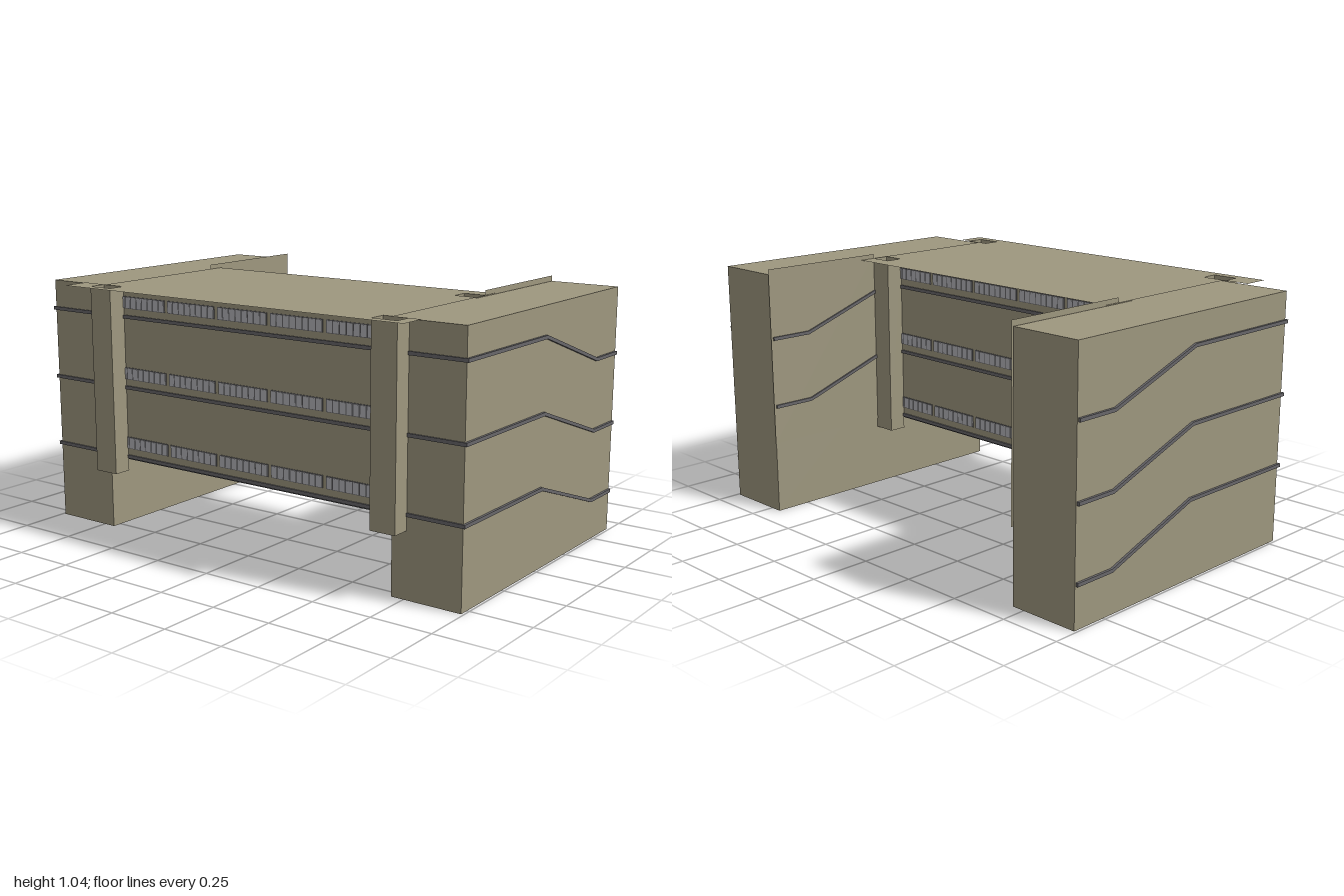
import * as THREE from 'three';

const TOP = 1.018, FRONT = 0.54, BACK = -0.025, INNER = 0.697;
const LEVELS = [0.32, 0.61, 0.9];

export function createModel() {
  const model = new THREE.Group();
  const wall = new THREE.MeshStandardMaterial({ color: 0x9e977f });
  const sheet = new THREE.MeshStandardMaterial({ color: 0x9e977f, side: THREE.DoubleSide });
  const trim = new THREE.MeshStandardMaterial({ color: 0x68676a });
  const glass = new THREE.MeshStandardMaterial({ color: 0xb6b6ba });

  const add = (name, geometry, material, parent = model) => {
    const mesh = new THREE.Mesh(geometry, material);
    mesh.name = name;
    parent.add(mesh);
    return mesh;
  };
  // Box given by its limits on each axis
  const box = (name, x0, x1, y0, y1, z0, z1, material, parent) => {
    const g = new THREE.BoxGeometry(x1 - x0, y1 - y0, z1 - z0);
    g.translate((x0 + x1) / 2, (y0 + y1) / 2, (z0 + z1) / 2);
    return add(name, g, material, parent);
  };

  // Bridge block between the towers, with its dark underside
  box('bridgeBlock', -INNER, INNER, 0.315, TOP, BACK, FRONT, wall);
  box('bridgeFloor', -INNER, INNER, 0.308, 0.315, BACK, FRONT, trim);

  // Band that follows the stepped line along a tower side, spanning x0..x0 + depth
  const sideBand = (name, y, x0, depth, zStart) => {
    const line = [[zStart, 0], [-0.03, 0], [-0.465, -0.15], [-0.645, -0.15]];
    const pts = [
      ...line.map(([z, dy]) => new THREE.Vector2(z, y + dy + 0.007)),
      ...line.reverse().map(([z, dy]) => new THREE.Vector2(z, y + dy - 0.007)),
    ];
    const g = new THREE.ExtrudeGeometry(new THREE.Shape(pts), { depth, bevelEnabled: false });
    g.rotateY(-Math.PI / 2);
    add(name, g, trim).position.x = x0 + depth;
  };

  // Towers, inner parapet panels and side bands, mirrored
  for (const s of [1, -1]) {
    const side = s > 0 ? 'left' : 'right';
    const a = s * INNER, b = s * 0.99;
    box(side + 'Tower', Math.min(a, b), Math.max(a, b), 0, TOP, -0.65, FRONT, wall);

    const panel = add(side + 'ParapetPanel', new THREE.PlaneGeometry(0.555, 0.74), sheet);
    panel.rotation.y = -s * Math.PI / 2;
    panel.position.set(s * 0.693, 0.67, -0.3775);

    LEVELS.forEach((y, i) => {
      sideBand(side + 'OuterBand', y, s > 0 ? 0.988 : -1, 0.012, FRONT + 0.005);
      if (i > 0) sideBand(side + 'InnerBand', y, s > 0 ? 0.686 : -0.698, 0.012, BACK);
    });
  }

  // Bands across the front and back
  for (const y of LEVELS) {
    box('frontBand', -1, 1, y - 0.007, y + 0.007, FRONT - 0.005, FRONT + 0.006, trim);
    box('backBand', -INNER, INNER, y - 0.007, y + 0.007, BACK - 0.006, BACK + 0.005, trim);
  }

  // Window rows: five frames of eight panes per storey, on both long walls
  for (const [name, z, dir] of [['front', FRONT, 1], ['back', BACK, -1]]) {
    for (const y of LEVELS) {
      const row = new THREE.Group();
      row.name = name + 'WindowRow';
      model.add(row);
      for (let i = 0; i < 5; i++) {
        const x = -0.615 + i * 0.256, y0 = y + 0.034, y1 = y + 0.083;
        const frame = add('windowFrame', new THREE.BoxGeometry(0.24, y1 - y0, 0.006), trim, row);
        frame.position.set(x + 0.12, (y0 + y1) / 2, z);
        for (let j = 0; j < 8; j++) {
          const pane = add('windowPane', new THREE.BoxGeometry(0.025, 0.043, 0.006), glass, row);
          pane.position.set(x + 0.015 + j * 0.03, (y0 + y1) / 2, z + dir * 0.002);
        }
      }
    }
  }

  // Hollow shafts with open tops: x0, x1, z0, z1, opening in the roof
  const shafts = [
    ['frontRightShaft', -0.705, -0.597, FRONT, 0.615, true],
    ['frontLeftShaft', 0.652, 0.76, FRONT, 0.615, true],
    ['backLeftShaft', 0.6, 0.695, -0.1, BACK, true],
    ['backRightShaft', -0.695, -0.6, -0.1, BACK, false],
  ];
  // Thin roof sheet overhanging both long walls
  const roof = new THREE.Shape([
    [-0.81, 0.655], [-0.81, FRONT], [-INNER, FRONT], [-INNER, -0.17],
    [INNER, -0.17], [INNER, FRONT], [0.81, FRONT], [0.81, 0.655],
  ].map(([x, z]) => new THREE.Vector2(x, -z)));
  for (const [name, x0, x1, z0, z1, open] of shafts) {
    const shaft = box(name, x0, x1, 0.26, 1.021, z0, z1, sheet);
    const index = Array.from(shaft.geometry.index.array);
    index.splice(12, 6); // drop the top face
    shaft.geometry.setIndex(index);
    shaft.geometry.clearGroups();
    if (open) {
      const e = 0.002;
      roof.holes.push(new THREE.Path([
        [x0 + e, z0 + e], [x1 - e, z0 + e], [x1 - e, z1 - e], [x0 + e, z1 - e],
      ].map(([x, z]) => new THREE.Vector2(x, -z))));
    }
  }
  const roofGeometry = new THREE.ShapeGeometry(roof);
  roofGeometry.rotateX(-Math.PI / 2);
  add('roofSheet', roofGeometry, sheet).position.y = 1.021;

  return model;
}
